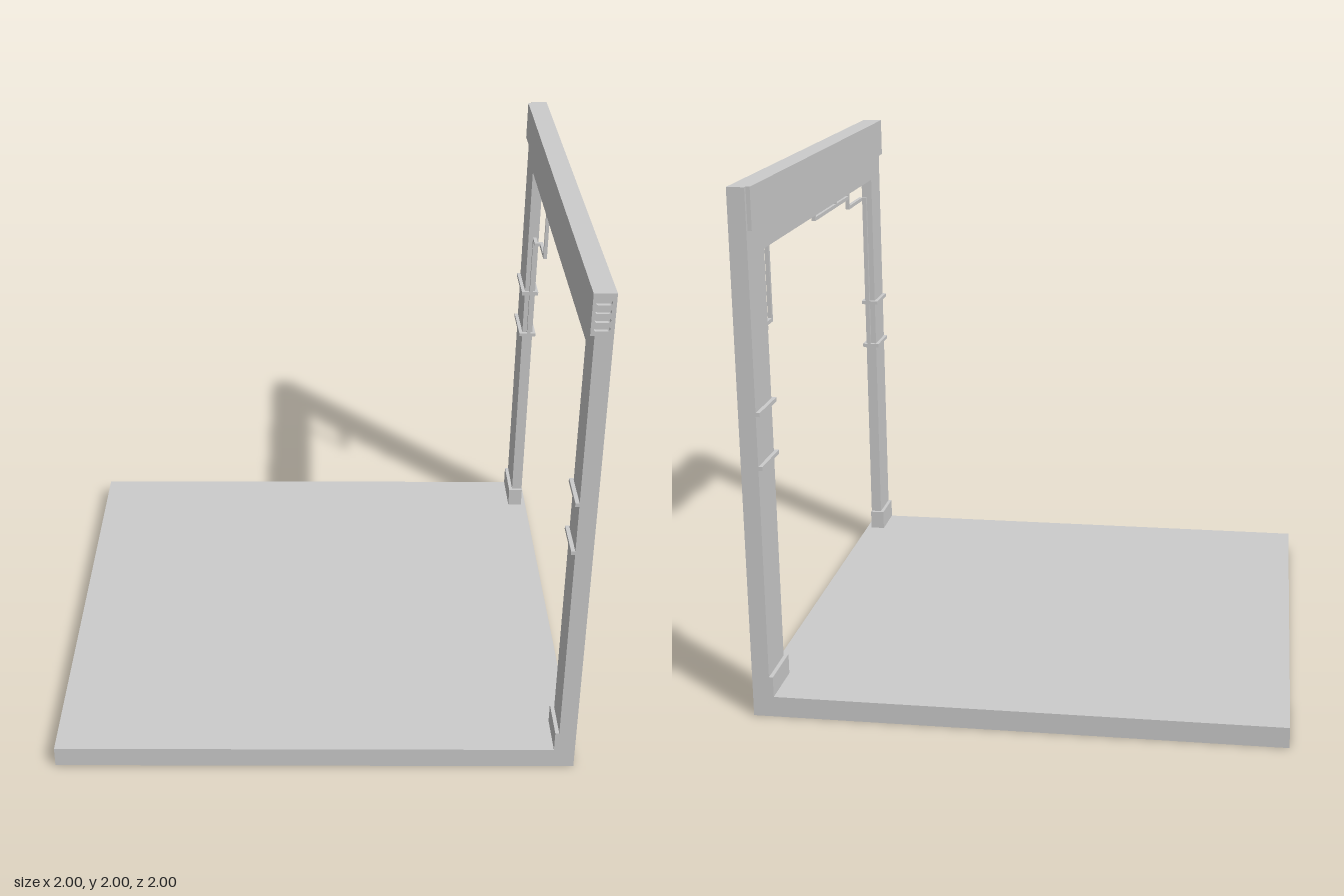
import * as THREE from 'three';

const material = new THREE.MeshStandardMaterial({ color: 0xcccccc, flatShading: true });

function add(group, name, geometry) {
  const mesh = new THREE.Mesh(geometry, material);
  mesh.name = name;
  group.add(mesh);
  return mesh;
}

// Box given by its two extreme corners
function box(group, name, [x0, y0, z0], [x1, y1, z1]) {
  const mesh = add(group, name, new THREE.BoxGeometry(x1 - x0, y1 - y0, z1 - z0));
  mesh.position.set((x0 + x1) / 2, (y0 + y1) / 2, (z0 + z1) / 2);
}

function rectHole(u0, v0, u1, v1) {
  return new THREE.Path([[u0, v0], [u0, v1], [u1, v1], [u1, v0]].map(p => new THREE.Vector2(...p)));
}

// Slab facing +x, drawn with u = -z and v = y
function slab(group, name, outline, holes, x0, x1) {
  const shape = new THREE.Shape(outline.map(p => new THREE.Vector2(...p)));
  shape.holes = holes;
  const geometry = new THREE.ExtrudeGeometry(shape, { depth: x1 - x0, bevelEnabled: false });
  geometry.rotateY(Math.PI / 2).translate(x0, 0, 0);
  add(group, name, geometry);
}

// Square conduit through axis-aligned points
function conduit(group, name, points, r = 0.0075) {
  const run = new THREE.Group();
  run.name = name;
  for (let i = 1; i < points.length; i++) {
    const a = points[i - 1], b = points[i];
    box(run, 'conduitRun', a.map((v, k) => Math.min(v, b[k]) - r), a.map((v, k) => Math.max(v, b[k]) + r));
  }
  group.add(run);
}

export function createModel() {
  const model = new THREE.Group();
  model.name = 'floorWithDoorFrame';

  // Floor
  box(model, 'floor', [-1, 0, -1], [0.935, 0.08, 1]);

  // Wall core with the large opening, and the raised outer rim with its recesses
  const outline = [[-1, 0], [1, 0], [1, 2], [-0.985, 2], [-0.985, 1.845], [-1, 1.845]];
  slab(model, 'wallCore', outline, [rectHole(-0.84, 0.08, 0.805, 1.75)], 0.935, 0.98);
  slab(model, 'outerRim', outline,
    [rectHole(-0.955, 0.08, 0.95, 1.845), rectHole(-0.845, 1.895, 0.805, 1.955)], 0.98, 1);
  box(model, 'slotBar', [0.98, 1.915, -0.79], [0.992, 1.94, 0.83]);

  // Thicker header on the inner side
  box(model, 'header', [0.92, 1.845, -0.985], [0.935, 2, 0.985]);

  // Header end cap with four rounded vents
  const cap = new THREE.Shape([[0.92, 1.845], [1, 1.845], [1, 2], [0.92, 2]].map(p => new THREE.Vector2(...p)));
  for (let i = 0; i < 4; i++) {
    const y = 1.87 + i * 0.032, r = 0.009;
    const vent = new THREE.Path();
    vent.absarc(0.94, y, r, Math.PI / 2, Math.PI * 1.5);
    vent.absarc(0.977, y, r, -Math.PI / 2, Math.PI / 2);
    vent.closePath();
    cap.holes.push(vent);
  }
  add(model, 'ventCap', new THREE.ExtrudeGeometry(cap, { depth: 0.015, bevelEnabled: false, curveSegments: 6 }))
    .position.z = 0.985;

  // Post feet and the bands that wrap each post
  for (const [side, inner, rim] of [[1, 0.832, 0.955], [-1, 0.798, 0.95]]) {
    const z = [side * (inner - 0.007), side].sort((a, b) => a - b);
    box(model, 'postFoot', [0.92, 0.08, z[0]], [0.98, 0.16, z[1]]);
    for (const y of [0.98, 1.183]) {
      conduit(model, 'postBand', [
        [0.985, y, side * (rim - 0.0075)], [0.985, y, side * inner],
        [0.9275, y, side * inner], [0.9275, y, side * 0.9925],
      ]);
    }
  }

  // Conduits across the recessed lintel and hanging into the opening
  const x = 0.985;
  conduit(model, 'lintelConduit', [[x, 1.787, 0.378], [x, 1.787, -0.942]]);
  conduit(model, 'dropConduit', [[x, 1.837, 0.378], [x, 1.708, 0.378]]);
  conduit(model, 'hangingConduit', [[x, 1.745, 0.043], [x, 1.708, 0.043], [x, 1.708, 0.597]]);
  conduit(model, 'leftPostConduit', [
    [x, 1.745, 0.597], [x, 1.662, 0.597], [x, 1.662, 0.832], [0.965, 1.662, 0.832], [0.965, 0.98, 0.832],
  ]);
  conduit(model, 'rightPostConduit', [
    [x, 1.787, -0.61], [x, 1.44, -0.61], [x, 1.44, -0.745], [0.962, 1.44, -0.745],
    [0.962, 1.44, -0.798], [0.962, 0.98, -0.798],
  ]);

  return model;
}
